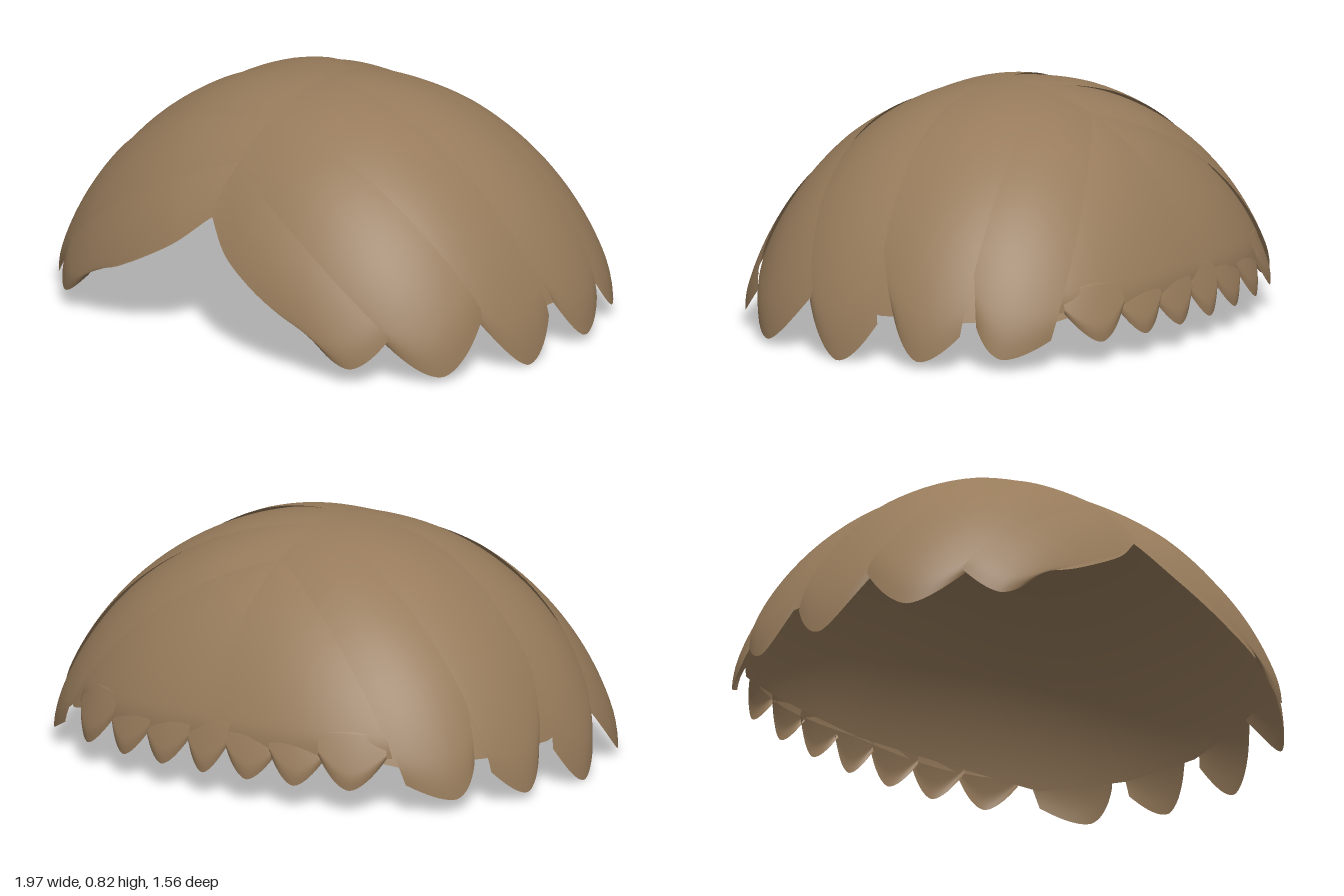
import * as THREE from 'three';

const CENTRE = new THREE.Vector3(0, -0.2, 0.05);
const V = (p) => new THREE.Vector3(...p);
const mix = (a, b, f) => a.map((v, i) => v + (b[i] - v) * f);

// Pushes a point radially onto the squarish dome, with a small lift off it
function onDome(p, lift) {
  const d = p.clone().sub(CENTRE);
  const plan = Math.pow(Math.abs(d.x) / 1.005, 2.4) + Math.pow(Math.abs(d.z) / 0.853, 2.4);
  const r = Math.sqrt(Math.pow(plan, 2 / 2.4) + (d.y / 1.02) ** 2);
  return d.multiplyScalar((1 + lift) / r).add(CENTRE);
}

// One lock: a curved sheet between a front and a rear edge, ending in a rounded tip.
// Without a tip it is a plain piece of the lining underneath.
function lockGeometry({ front, rear, tip, under = 0 }, mirror) {
  const F = new THREE.CatmullRomCurve3(front.map(V));
  const R = new THREE.CatmullRomCurve3(rear.map(V));
  const drop = new THREE.Vector3();
  if (tip) drop.copy(V(tip)).sub(F.getPoint(1).lerp(R.getPoint(1), 0.5));
  const rows = 36, cols = 20, pos = [], index = [];
  for (let i = 0; i <= rows; i++) {
    const t = i / rows, a = F.getPoint(t), b = R.getPoint(t);
    for (let j = 0; j <= cols; j++) {
      const u = j / cols;
      const hump = 1 - Math.pow(Math.abs(2 * u - 1), 1.7);
      const p = a.clone().lerp(b, u).addScaledVector(drop, hump * t ** 4);
      // the rear edge laps over the next lock and the tip curls in
      let lift = -under;
      if (tip) {
        lift += (0.012 * u + 0.005 * hump) * Math.min(1, t * 3);
        lift -= 0.012 * Math.max(0, (t - 0.9) / 0.1) ** 2;
      }
      const q = onDome(p, lift);
      pos.push(mirror ? -q.x : q.x, q.y, q.z);
      if (i < rows && j < cols) {
        const k = i * (cols + 1) + j, n = k + cols + 1;
        if (mirror) index.push(k, n + 1, n, k, k + 1, n + 1);
        else index.push(k, n, n + 1, k, n + 1, k + 1);
      }
    }
  }
  const g = new THREE.BufferGeometry();
  g.setAttribute('position', new THREE.Float32BufferAttribute(pos, 3));
  g.setIndex(index);
  g.computeVertexNormals();
  return g;
}

export function createModel() {
  const model = new THREE.Group();
  model.name = 'hair';
  const brown = new THREE.MeshStandardMaterial({ color: 0x977b5b, side: THREE.DoubleSide });
  brown.name = 'hairBrown';
  const hair = new THREE.Group();
  hair.name = 'locks';
  model.add(hair);

  const add = (name, spec, mirror) => {
    const mesh = new THREE.Mesh(lockGeometry(spec, mirror), brown);
    mesh.name = name;
    hair.add(mesh);
  };
  const addPair = (name, spec) => {
    add(name + 'Left', spec, false);
    add(name + 'Right', spec, true);
  };

  // Seams between locks, from the parting down to the hem, front to back
  const seams = [
    [[0, 0.45, 0.68], [0.13, 0.34, 0.75], [0.36, 0.22, 0.78], [0.52, 0.15, 0.76]],
    [[0, 0.61, 0.54], [0.2, 0.52, 0.62], [0.5, 0.31, 0.63], [0.72, 0.14, 0.59]],
    [[0, 0.72, 0.4], [0.35, 0.66, 0.41], [0.7, 0.44, 0.37], [0.9, 0.2, 0.29]],
    [[0, 0.82, 0.08], [0.35, 0.76, 0.11], [0.75, 0.48, 0.06], [0.96, 0.14, 0]],
    [[0, 0.82, -0.06], [0.3, 0.73, -0.19], [0.7, 0.45, -0.29], [0.91, 0.12, -0.31]],
    [[0, 0.75, -0.29], [0.25, 0.66, -0.44], [0.55, 0.42, -0.57], [0.74, 0.11, -0.585]],
  ];
  const backSeam = [[0, 0.745, -0.31], [0, 0.6, -0.52], [0, 0.4, -0.68], [0, 0.22, -0.76]];
  const tips = [
    [0.64, 0.045, 0.7], [0.86, 0.01, 0.47], [0.99, 0, 0.15],
    [0.965, 0.025, -0.17], [0.86, 0.045, -0.45],
  ];

  tips.forEach((tip, i) => {
    // the front edge is tucked a little under the lock before it
    const front = seams[i].map((p, k) => (i && k ? mix(p, seams[i - 1][k], 0.1) : p));
    // the rear locks narrow at the hem, leaving a small notch
    if (i > 2) {
      const [x, y, z] = mix(seams[i][3], seams[i + 1][3], 0.17);
      front[3] = [x, y + 0.04, z];
    }
    addPair('sideLock' + (i + 1), { front, rear: seams[i + 1], tip });
  });

  // Smooth lining behind the locks, with a level rim just above the notches
  const rim = (seam) => seam.map(([x, y, z]) => [x, Math.max(y, 0.175), z]);
  const lined = [...seams, backSeam].map(rim);
  for (let i = 0; i < lined.length - 1; i++) {
    addPair('lining' + (i + 1), { front: lined[i], rear: lined[i + 1], under: 0.014 });
  }

  // Broad back panel, two halves meeting at the middle
  const panelFront = seams[5].map((p, k) => (k ? mix(p, seams[4][k], 0.08) : p));
  panelFront[3] = [0.7, 0.21, -0.6];
  addPair('backPanel', { front: panelFront, rear: backSeam, tip: [0.38, 0.19, -0.7] });

  // Petals hanging below the back panel
  const petal = (x0, x1, tipY, under) => {
    const edge = (x) => [0.34, 0.27, 0.2].map((y) => [x, y, -0.78 + 0.4 * x * x]);
    const m = (x0 + x1) / 2;
    return { front: edge(x0), rear: edge(x1), tip: [m, tipY, -0.8 + 0.4 * m * m], under };
  };
  addPair('wideBackPetal', petal(0.67, 0.44, 0.08, 0.004));
  addPair('roundBackPetal', petal(0.47, 0.26, 0.085, 0.006));
  addPair('innerBackPetal', petal(0.29, 0.08, 0.09, 0.004));
  add('middleBackPetal', petal(0.09, -0.09, 0.09, 0), false);

  // Stand on the ground, centred
  const box = new THREE.Box3().setFromObject(hair);
  const c = box.getCenter(new THREE.Vector3());
  hair.position.set(0, -box.min.y, -c.z);
  return model;
}
